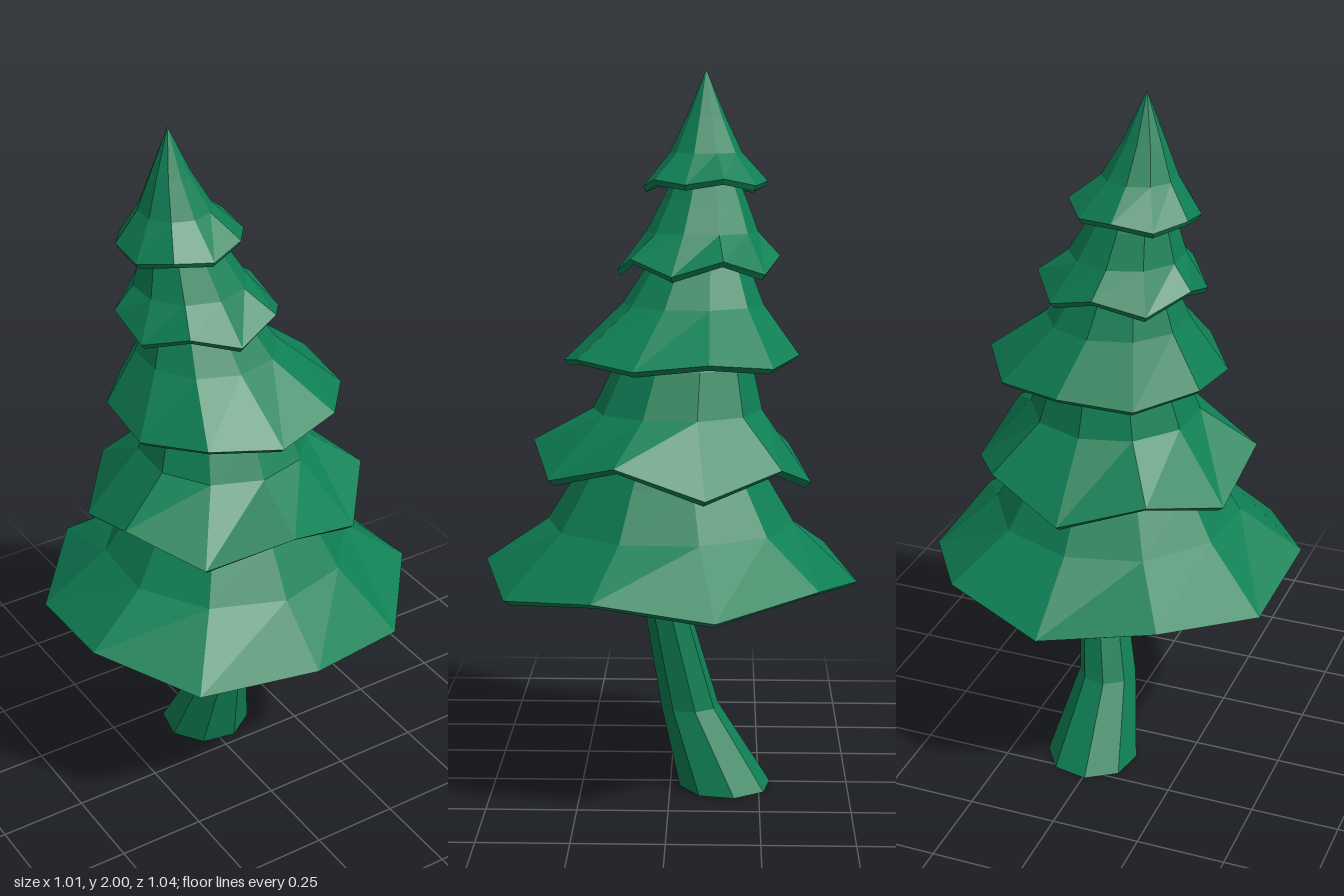
import * as THREE from 'three';

const material = new THREE.MeshStandardMaterial({ color: 0x0f8055, flatShading: true });
const { smoothstep } = THREE.MathUtils;

// Centre line of the crown, which leans more towards the tip
const axis = (y) => new THREE.Vector3(-0.115 * smoothstep(y, 1.1, 2), y, -0.095 * smoothstep(y, 0.8, 1.75));

// Ring of points around a centre, starting at the front and turning towards +x
function ring(centre, radius, sides, turn, lift = () => 0) {
  return Array.from({ length: sides }, (_, i) => {
    const a = turn + (i / sides) * Math.PI * 2;
    return new THREE.Vector3(Math.sin(a) * radius, lift(i, a), Math.cos(a) * radius).add(centre);
  });
}

// Skins successive rings with quads
function loft(name, rings) {
  const points = [];
  rings.slice(1).forEach((upper, k) => {
    const lower = rings[k];
    lower.forEach((p, i) => {
      const j = (i + 1) % lower.length;
      points.push(p, lower[j], upper[j], p, upper[j], upper[i]);
    });
  });
  const geometry = new THREE.BufferGeometry().setFromPoints(points);
  geometry.computeVertexNormals();
  const mesh = new THREE.Mesh(geometry, material);
  mesh.name = name;
  return mesh;
}

// Rim, middle and upper are [height, radius]; zigzag and tilt shape the rim
const tiers = [
  { name: 'lowestBoughs', rim: [0.617, 0.522], middle: [0.76, 0.345], upper: [0.89, 0.265], zigzag: 0.022 },
  { name: 'lowerBoughs', rim: [0.928, 0.388], middle: [1.075, 0.235], upper: [1.2, 0.19], zigzag: 0.035, tiltZ: 0.02 },
  { name: 'middleBoughs', rim: [1.22, 0.325], middle: [1.365, 0.195], upper: [1.47, 0.14], zigzag: -0.01, tiltX: 0.01, shift: 0.02 },
  { name: 'upperBoughs', rim: [1.475, 0.225], middle: [1.56, 0.155], upper: [1.65, 0.115], zigzag: -0.021, turn: 0 },
  { name: 'topBoughs', rim: [1.69, 0.172], middle: [1.775, 0.1], upper: [1.87, 0.055], zigzag: -0.008, tiltX: 0.012, turn: 0 },
];

function boughTier({ name, rim, middle, upper, zigzag, tiltX = 0, tiltZ = 0, shift = 0, turn = -0.065 }) {
  const level = (y, r) => ring(axis(y), r, 10, turn);
  const wave = (i, a) => (i % 2 ? -zigzag : zigzag) + tiltX * Math.sin(a) + tiltZ * Math.cos(a);
  const rimCentre = axis(rim[0]).add(new THREE.Vector3(shift, 0, shift / 2));
  const rimBelow = rimCentre.clone().setY(rim[0] - 0.015);
  return loft(name, [
    // hollow underside
    level(upper[0], 0),
    level(upper[0] - 0.02, upper[1] * 0.85),
    level(middle[0] - 0.03, middle[1] * 0.92),
    // thick scalloped rim
    ring(rimBelow, rim[1] * 0.95, 10, turn, wave),
    ring(rimCentre, rim[1], 10, turn, wave),
    // outer slope, running to a point
    level(...middle),
    level(...upper),
    level(upper[0] + 2.36 * upper[1], 0),
  ]);
}

// Bent eight-sided trunk with closed ends
function trunk() {
  const sections = [
    [0.02, 0, -0.155, 0.13],
    [0.01, 0.23, -0.055, 0.082],
    [0.07, 0.62, 0.03, 0.056],
    [0.08, 0.9, 0.04, 0.045],
  ];
  const section = ([x, y, z, r], scale = 1) => ring(new THREE.Vector3(x, y, z), r * scale, 8, 0.2);
  return loft('trunk', [
    section(sections[0], 0),
    ...sections.map((s) => section(s)),
    section(sections[3], 0),
  ]);
}

export function createModel() {
  const tree = new THREE.Group();
  tree.name = 'tree';
  tree.add(trunk(), ...tiers.map(boughTier));
  return tree;
}
